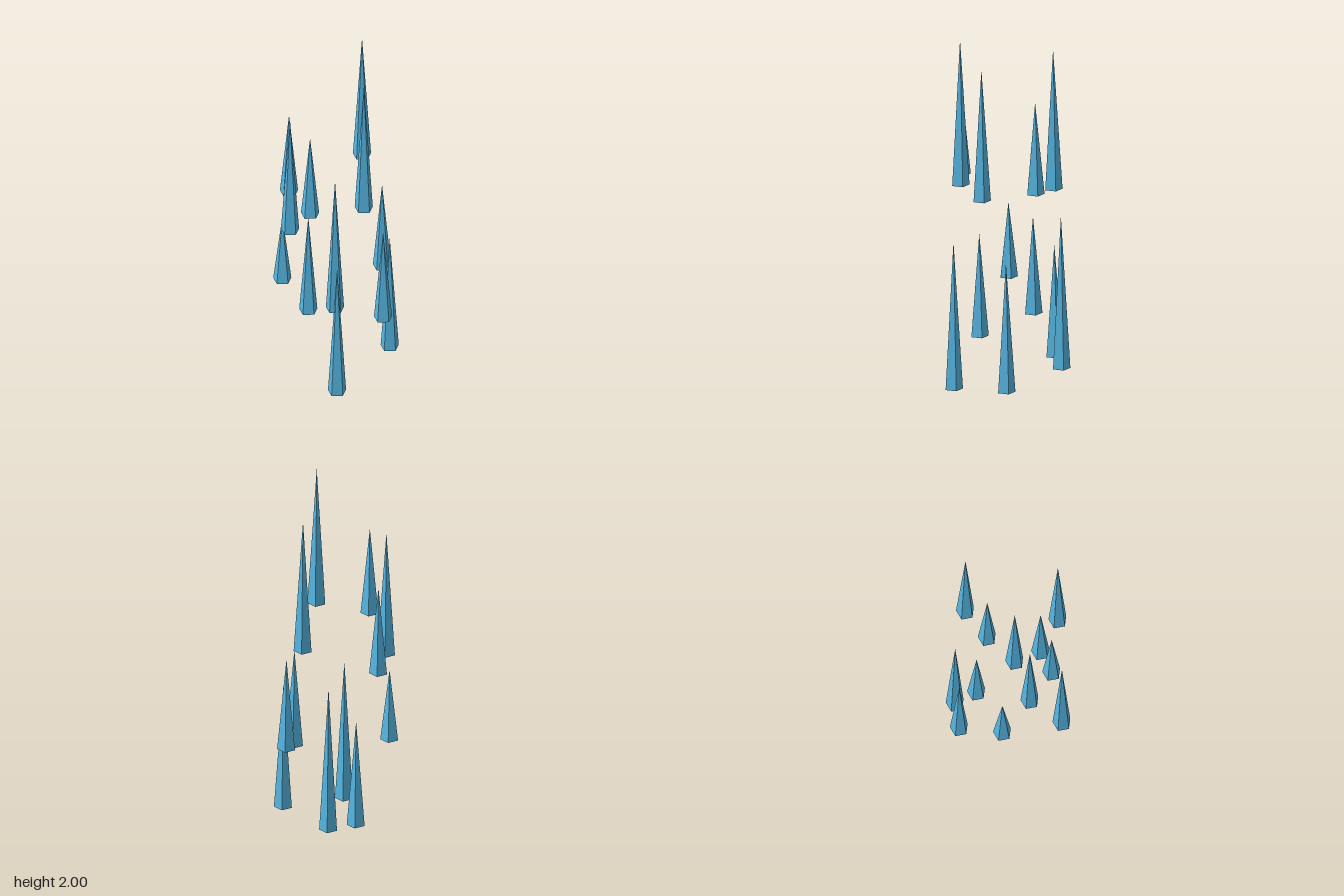
import * as THREE from 'three';

// Ring of twelve floating spikes: [base height, tip height], starting at the
// front and stepping 30 degrees towards +x
const SPIKES = [
  [0, 0.82], [1.19, 2], [0.38, 0.95],
  [0.08, 0.8], [0.51, 1.05], [1.17, 1.95],
  [0.12, 0.97], [0.14, 0.76], [1.01, 1.52],
  [0.535, 0.95], [0.97, 1.7], [1.155, 1.66],
];
const RING_RADIUS = 0.285;
const SPIKE_RADIUS = 0.0505;
const CENTRE_Z = 0.0035;

export function createModel() {
  const model = new THREE.Group();
  model.name = 'spikeRing';

  const iceBlue = new THREE.MeshStandardMaterial({ color: 0x55b4e0 });
  iceBlue.name = 'iceBlue';
  iceBlue.flatShading = true;

  SPIKES.forEach(([base, tip], i) => {
    const height = tip - base;
    // Five-sided spike with one corner towards the back
    const geometry = new THREE.ConeGeometry(SPIKE_RADIUS, height, 5, 1, false, Math.PI);
    const spike = new THREE.Mesh(geometry, iceBlue);
    spike.name = `spike${i + 1}`;
    const angle = (i / SPIKES.length) * Math.PI * 2;
    spike.position.set(
      RING_RADIUS * Math.sin(angle),
      base + height / 2,
      RING_RADIUS * Math.cos(angle) + CENTRE_Z,
    );
    model.add(spike);
  });

  return model;
}
